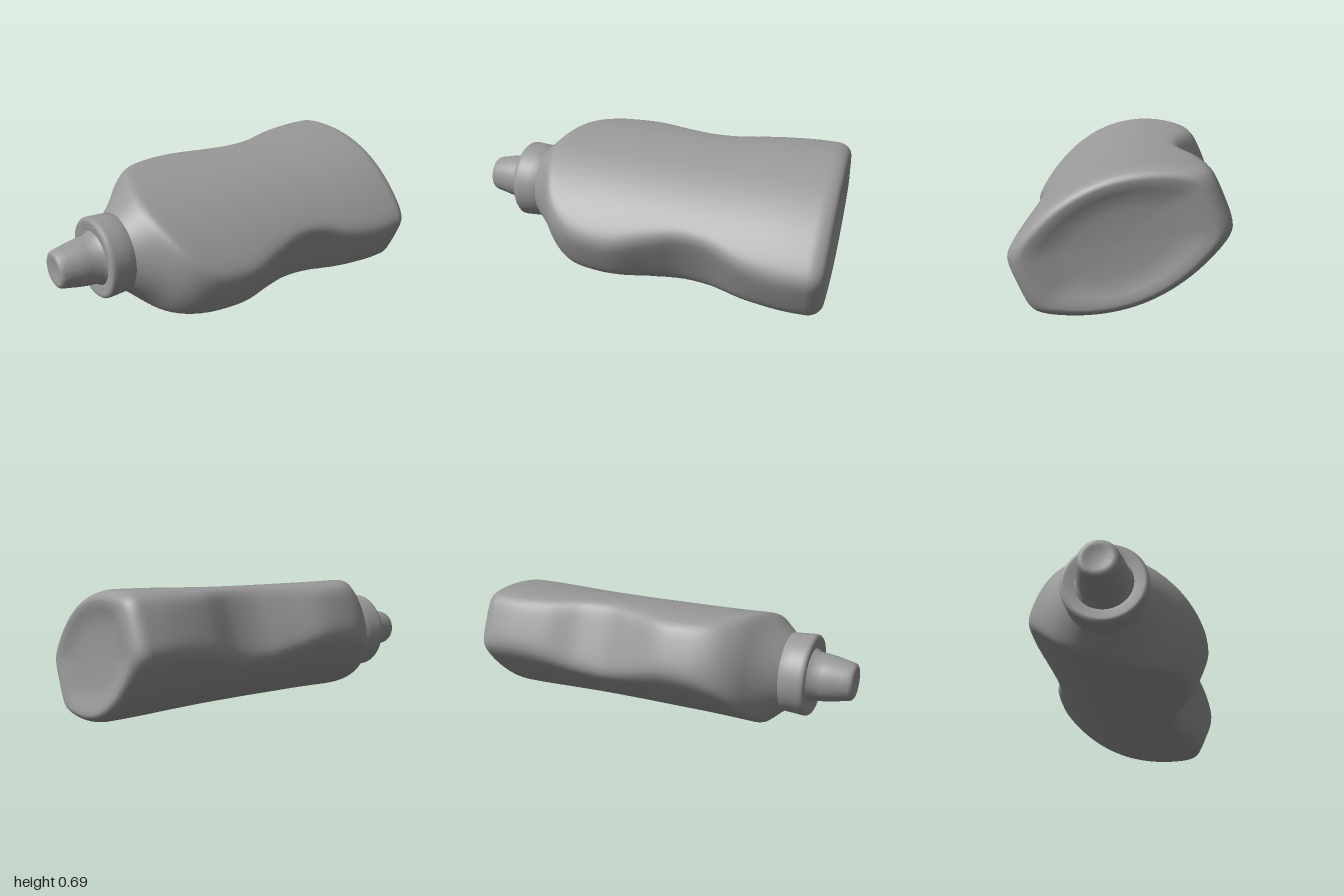
import * as THREE from 'three';
import { toCreasedNormals } from 'three/addons/utils/BufferGeometryUtils.js';

const material = new THREE.MeshStandardMaterial({ color: 0x999999 });

// Body keys along z: [z, half width, half thickness, radius of the round limit]
const KEYS = [
  [-1, 0.495, 0.305, 0.53], [-0.8, 0.503, 0.303, 0.535], [-0.6, 0.473, 0.296, 0.505],
  [-0.4, 0.402, 0.29, 0.455], [-0.25, 0.392, 0.288, 0.443], [-0.1, 0.428, 0.287, 0.46],
  [0.1, 0.488, 0.287, 0.503], [0.25, 0.485, 0.287, 0.498], [0.4, 0.47, 0.289, 0.442],
  [0.48, 0.46, 0.291, 0.383], [0.55, 0.45, 0.293, 0.303], [0.6, 0.45, 0.293, 0.253],
  [0.66, 0.45, 0.293, 0.2],
];
const CURVE = 0.66; // bulge of the broad faces
const SHARP = 24; // tightness of the rounded corners

// Smooth minimum of a lens, two flat sides and a circle
function sectionRadius(angle, w, t, round) {
  const c = Math.abs(Math.cos(angle)), s = Math.abs(Math.sin(angle));
  const lens = 2 * t / (s + Math.sqrt(s * s + 4 * CURVE * c * c * t));
  const side = w / Math.max(c, 1e-4);
  return (lens ** -SHARP + side ** -SHARP + round ** -SHARP) ** (-1 / SHARP);
}

function bodyGeometry() {
  const spline = new THREE.CubicInterpolant(
    KEYS.map(k => k[0]), KEYS.flatMap(k => k.slice(1)), 3, new Float32Array(3));

  // Rows [z, scale]: dished base, rounded rim, then the long wall
  const rows = [[-0.968, 0], [-0.969, 0.25], [-0.972, 0.48], [-0.98, 0.62],
    [-0.991, 0.72], [-0.998, 0.79]];
  for (let i = 0; i <= 10; i++) {
    const a = i / 10 * Math.PI / 2;
    rows.push([-0.92 - 0.08 * Math.cos(a), 0.85 + 0.15 * Math.sin(a)]);
  }
  const steps = 90;
  for (let i = 1; i <= steps; i++) rows.push([-0.92 + 1.58 * i / steps, 1]);

  const sides = 144, pos = [], index = [];
  rows.forEach(([z, scale], i) => {
    const [w, t, round] = spline.evaluate(z);
    for (let j = 0; j < sides; j++) {
      const a = j / sides * Math.PI * 2;
      const r = scale * sectionRadius(a, w, t, round);
      pos.push(r * Math.cos(a), r * Math.sin(a), z);
      if (i === 0) continue;
      const k = (j + 1) % sides, p = (i - 1) * sides, q = i * sides;
      if (i > 1) index.push(p + j, p + k, q + k);
      index.push(p + j, q + k, q + j);
    }
  });
  const g = new THREE.BufferGeometry();
  g.setAttribute('position', new THREE.Float32BufferAttribute(pos, 3));
  g.setIndex(index);
  g.computeVertexNormals();
  return g;
}

// Turned part along z from [radius, z] points
function turned(name, points) {
  const g = new THREE.LatheGeometry(points.map(p => new THREE.Vector2(...p)), 64);
  g.rotateX(Math.PI / 2);
  const mesh = new THREE.Mesh(toCreasedNormals(g, 0.9), material);
  mesh.name = name;
  mesh.position.y = 0.36;
  return mesh;
}

export function createModel() {
  const model = new THREE.Group();
  model.name = 'squeezeBottle';

  // Flattened, waisted body resting tilted on one edge, neck slightly raised
  const body = new THREE.Mesh(bodyGeometry(), material);
  body.name = 'body';
  body.position.y = 0.354;
  body.rotation.set(-0.006, 0, THREE.MathUtils.degToRad(-23.5));
  model.add(body);

  // Screw cap
  model.add(turned('cap', [
    [0.17, 0.64], [0.2, 0.643], [0.207, 0.655], [0.209, 0.7], [0.213, 0.76],
    [0.212, 0.777], [0.204, 0.787], [0.19, 0.788], [0.15, 0.778], [0, 0.778],
  ]));

  // Tapered nozzle with a small dimple in its tip
  model.add(turned('nozzle', [
    [0.145, 0.77], [0.138, 0.785], [0.127, 0.8], [0.123, 0.85], [0.115, 0.9],
    [0.104, 0.95], [0.098, 0.98], [0.092, 0.993], [0.08, 1], [0.065, 0.999],
    [0.045, 0.994], [0, 0.992],
  ]));
  return model;
}
